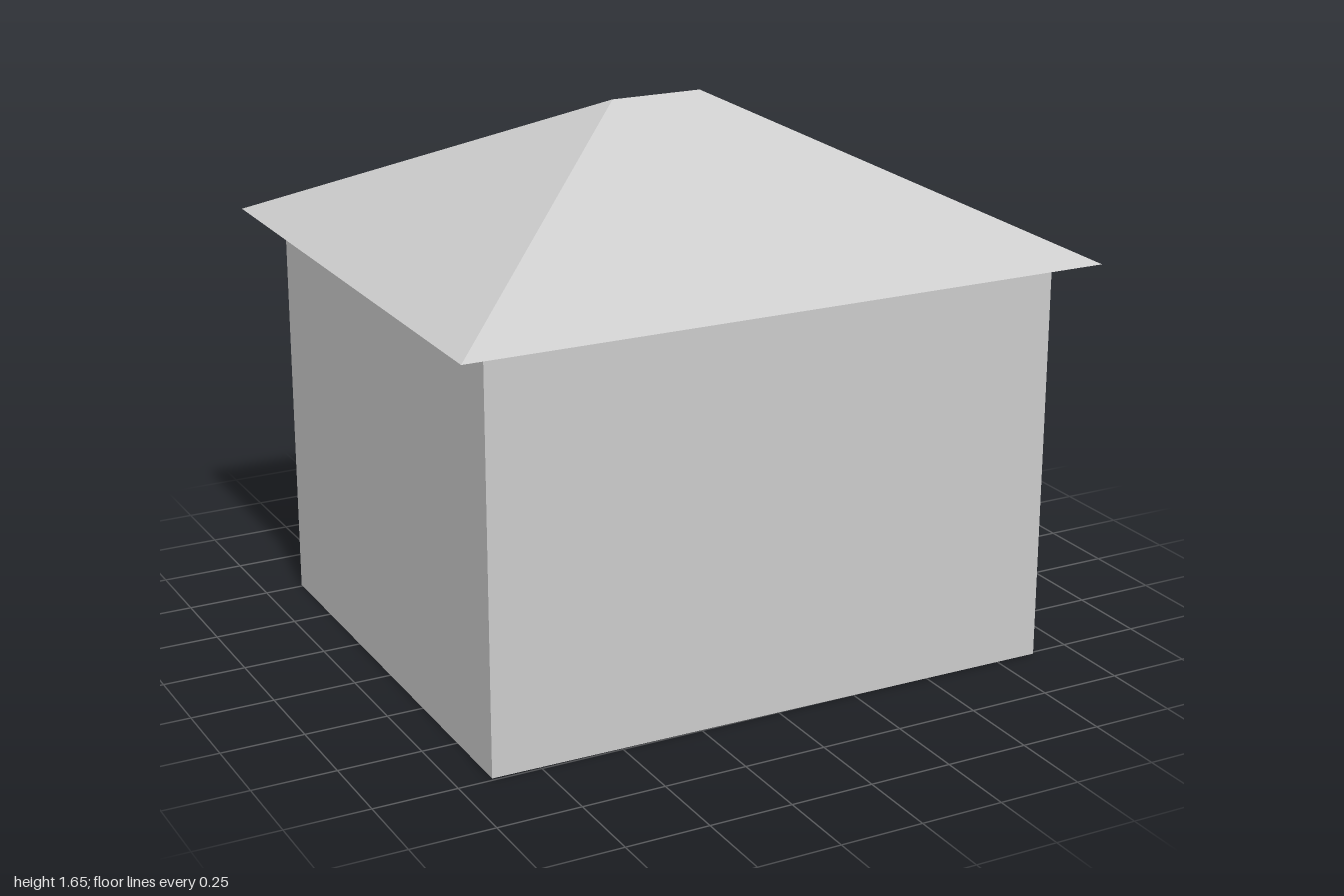
import * as THREE from 'three';

// Non-indexed flat-shaded geometry from polygons (each a fan of corner points)
function facets(polygons) {
  const positions = [];
  for (const p of polygons) {
    for (let i = 1; i < p.length - 1; i++) positions.push(...p[0], ...p[i], ...p[i + 1]);
  }
  const geometry = new THREE.BufferGeometry();
  geometry.setAttribute('position', new THREE.Float32BufferAttribute(positions, 3));
  geometry.computeVertexNormals();
  return geometry;
}

// Rectangle corners at height y, counter-clockwise seen from above
const rectangle = (x, z, y) => [[-x, y, z], [x, y, z], [x, y, -z], [-x, y, -z]];

export function createModel() {
  const grey = new THREE.MeshStandardMaterial({
    color: 0xcccccc, side: THREE.DoubleSide, flatShading: true,
  });
  grey.name = 'plainGrey';

  const house = new THREE.Group();
  house.name = 'house';

  // Four thin walls, open below and above, reaching up to the roof slopes
  const base = rectangle(0.887, 0.75, 0);
  const top = rectangle(0.887, 0.75, 1.275);
  const walls = new THREE.Mesh(facets(base.map((corner, i) => {
    const j = (i + 1) % 4;
    return [corner, base[j], top[j], top[i]];
  })), grey);
  walls.name = 'walls';

  // Hipped roof shell with a short ridge, open underneath
  const [frontLeft, frontRight, backRight, backLeft] = rectangle(0.99, 0.848, 1.23);
  const ridgeA = [-0.142, 1.655, 0];
  const ridgeB = [0.142, 1.655, 0];
  const roof = new THREE.Mesh(facets([
    [frontLeft, frontRight, ridgeB, ridgeA],
    [frontRight, backRight, ridgeB],
    [backRight, backLeft, ridgeA, ridgeB],
    [backLeft, frontLeft, ridgeA],
  ]), grey);
  roof.name = 'hippedRoof';

  // The whole house stands slightly turned
  house.add(walls, roof);
  house.rotation.y = -0.011;

  const model = new THREE.Group();
  model.name = 'hippedRoofHouse';
  model.add(house);
  return model;
}
